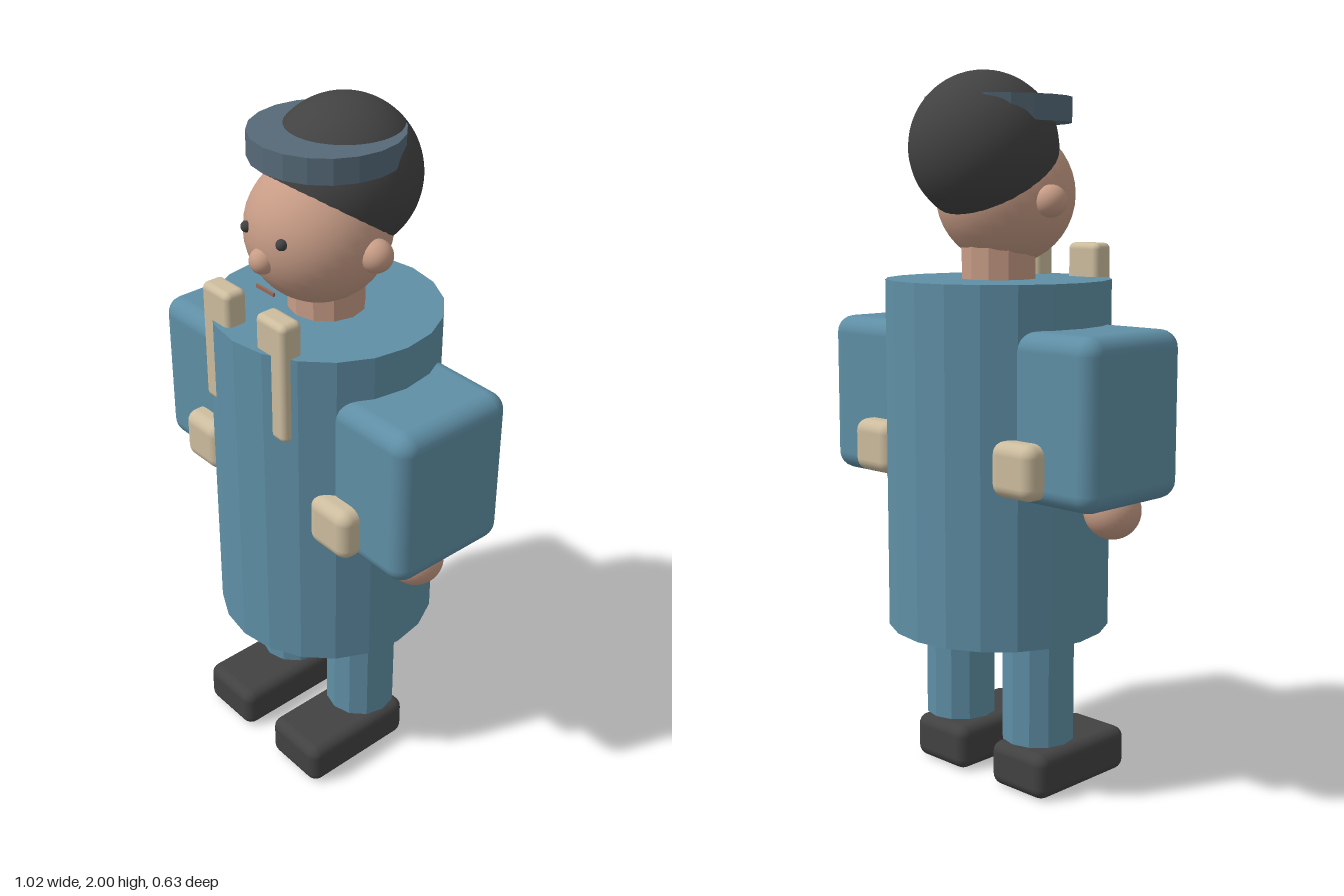
import * as THREE from 'three';
import { RoundedBoxGeometry } from 'three/addons/geometries/RoundedBoxGeometry.js';

const mat = (name, color, extra = {}) => {
  const m = new THREE.MeshStandardMaterial({ color, ...extra });
  m.name = name;
  return m;
};

export function createModel() {
  const model = new THREE.Group();
  model.name = 'figure';

  const coatBlue = mat('coatBlue', 0x5f8fa6, { flatShading: true });
  const sleeveBlue = coatBlue.clone();
  sleeveBlue.name = 'sleeveBlue';
  sleeveBlue.flatShading = false;
  const capBlue = mat('capBlue', 0x566a78, { flatShading: true });
  const skin = mat('skin', 0xc79c86);
  const neckSkin = skin.clone();
  neckSkin.name = 'neckSkin';
  neckSkin.flatShading = true;
  const beige = mat('beige', 0xcdbd9f);
  const charcoal = mat('charcoal', 0x424242, { side: THREE.DoubleSide });
  const lip = mat('lip', 0x9a6a5a);

  const add = (name, geometry, material, x, y, z) => {
    const mesh = new THREE.Mesh(geometry, material);
    mesh.name = name;
    mesh.position.set(x, y, z);
    model.add(mesh);
    return mesh;
  };
  // Upright cylinder between two heights
  const post = (name, r, y0, y1, sides, material, x = 0, z = 0) =>
    add(name, new THREE.CylinderGeometry(r, r, y1 - y0, sides), material, x, (y0 + y1) / 2, z);
  const ball = (name, r, material, x, y, z) =>
    add(name, new THREE.SphereGeometry(r, 32, 20), material, x, y, z);
  const block = (name, w, h, d, r, material, x, y, z) =>
    add(name, new RoundedBoxGeometry(w, h, d, 3, r), material, x, y, z);

  // Torso and neck
  post('coat', 0.315, 0.46, 1.44, 20, coatBlue);
  post('neck', 0.105, 1.4, 1.56, 12, neckSkin);

  // Head, nose and mouth
  ball('head', 0.194, skin, 0, 1.67, 0.028);
  ball('nose', 0.035, skin, 0, 1.633, 0.212);
  add('mouth', new THREE.BoxGeometry(0.07, 0.01, 0.006), lip, 0, 1.548, 0.205);

  // Hair: a deep spherical cap tipped backwards
  const hair = add('hair',
    new THREE.SphereGeometry(0.205, 40, 26, 0, Math.PI * 2, 0, Math.PI * 0.65),
    charcoal, 0, 1.795, -0.057);
  hair.rotation.x = -0.585;

  // Flat cap band cutting through the hair
  post('capBand', 0.202, 1.862, 1.93, 20, capBlue);

  // Paired parts
  for (const [side, s] of [['left', 1], ['right', -1]]) {
    ball(side + 'Eye', 0.015, charcoal, s * 0.07, 1.7, 0.206);
    ball(side + 'Ear', 0.044, skin, s * 0.194, 1.652, 0.003);
    block(side + 'Lapel', 0.113, 0.345, 0.067, 0.018, beige, s * 0.112, 1.363, 0.254);
    block(side + 'Sleeve', 0.3, 0.455, 0.376, 0.05, sleeveBlue, s * 0.36, 1.092, 0);
    block(side + 'Pocket', 0.153, 0.15, 0.487, 0.035, beige, s * 0.276, 0.96, 0);
    ball(side + 'Hand', 0.078, skin, s * 0.4, 0.838, 0.028);
    post(side + 'Leg', 0.103, 0.15, 0.5, 12, coatBlue, s * 0.157);
    block(side + 'Shoe', 0.206, 0.13, 0.364, 0.032, charcoal, s * 0.157, 0.066, 0.089);
  }
  return model;
}
